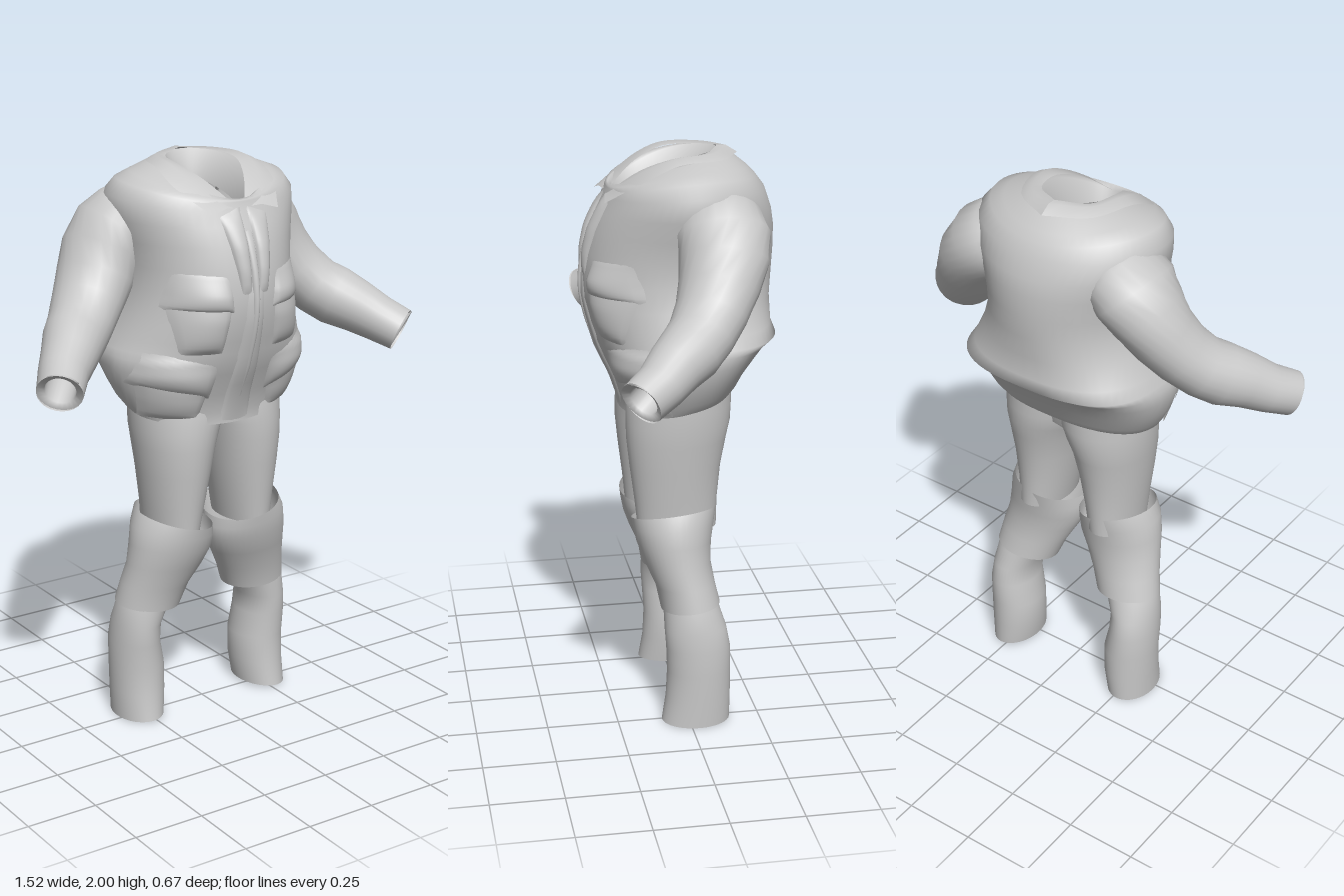
import * as THREE from 'three';

const cloth = new THREE.MeshStandardMaterial({ color: 0xc8c8c8, side: THREE.DoubleSide });
cloth.name = 'grey cloth';

function mesh(name, geometry) {
  const m = new THREE.Mesh(geometry, cloth);
  m.name = name;
  return m;
}

// Skin a list of equal rings of Vector3; closed rings wrap round
function skin(rings, closed = true) {
  const n = rings[0].length, index = [];
  for (let i = 0; i < rings.length - 1; i++) {
    for (let k = 0; k < (closed ? n : n - 1); k++) {
      const a = i * n + k, b = i * n + (k + 1) % n;
      index.push(a, a + n, b, b, a + n, b + n);
    }
  }
  const g = new THREE.BufferGeometry().setFromPoints(rings.flat());
  g.setIndex(index);
  g.computeVertexNormals();
  return g;
}

// Horizontal garment sections, bottom to top:
// [y, xMin, xMax, zFront, zBack, lift at back, tilt to +x, hump at sides, back squareness]
function loft(sections, n = 40) {
  return skin(sections.map(([y, x0, x1, zf, zb, lift = 0, tilt = 0, hump = 0, e = 1]) =>
    Array.from({ length: n }, (_, k) => {
      const a = k / n * Math.PI * 2, c = Math.cos(a), s = Math.sin(a);
      const q = s < 0 ? e : 1;
      const cx = Math.sign(c) * Math.abs(c) ** q, sz = Math.sign(s) * Math.abs(s) ** q;
      return new THREE.Vector3(
        (x0 + x1) / 2 + cx * (x1 - x0) / 2,
        y + lift * (1 - sz) / 2 + tilt * c + hump * c * c,
        (zf + zb) / 2 + sz * (zf - zb) / 2);
    })));
}

// Tube through [x, y, z, radius, flattening] stations
function sleeveTube(stations, n = 24) {
  const pts = stations.map(s => new THREE.Vector3(s[0], s[1], s[2]));
  return skin(pts.map((p, i) => {
    const t = pts[Math.min(i + 1, pts.length - 1)].clone().sub(pts[Math.max(i - 1, 0)]).normalize();
    const r = t.clone().cross(new THREE.Vector3(0, 1, 0)).normalize();
    const b = r.clone().cross(t);
    const [, , , rad, flat = 1] = stations[i];
    return Array.from({ length: n }, (_, k) => {
      const a = k / n * Math.PI * 2;
      return p.clone().addScaledVector(r, Math.cos(a) * rad).addScaledVector(b, Math.sin(a) * rad * flat);
    });
  }));
}

// Jacket body, from hem to neck lining
const body = [
  [1.11, -.295, .295, .205, -.18, .08, 0, 0, .8],
  [1.15, -.32, .32, .205, -.20, .07, 0, 0, .8],
  [1.22, -.35, .35, .225, -.225, .05, 0, 0, .8],
  [1.30, -.372, .372, .26, -.265, .03, 0, 0, .75],
  [1.35, -.368, .368, .28, -.29, .01, 0, 0, .72],
  [1.375, -.36, .36, .285, -.327, .01, 0, 0, .72],
  [1.42, -.34, .34, .30, -.315, 0, 0, 0, .78],
  [1.50, -.31, .31, .32, -.315, 0, 0, 0, .88],
  [1.58, -.295, .295, .325, -.325],
  [1.66, -.295, .295, .315, -.33],
  [1.74, -.31, .31, .295, -.33],
  [1.80, -.33, .33, .27, -.32, 0, 0, .01],
  [1.85, -.338, .338, .245, -.295, .02, 0, .025],
  [1.875, -.30, .30, .237, -.265, .035, 0, .038],
  [1.88, -.25, .25, .235, -.24, .055, 0, .04],
  [1.885, -.18, .18, .23, -.19, .09, 0, .035],
  [1.87, -.12, .12, .22, -.14, .125, 0, .03],
  [1.78, -.10, .10, .19, -.12, .12]
];

// Depth of the jacket front at (x, y)
function frontZ(x, y) {
  let i = 0;
  while (i < 11 && body[i + 1][0] < y) i++;
  const t = THREE.MathUtils.clamp((y - body[i][0]) / (body[i + 1][0] - body[i][0]), 0, 1);
  const at = j => THREE.MathUtils.lerp(body[i][j], body[i + 1][j], t);
  const q = Math.min(Math.abs(x) / at(2), .985);
  return (at(3) + at(4)) / 2 + (at(3) - at(4)) / 2 * Math.sqrt(1 - q * q);
}

// Padded panel on the jacket front, corners [x, y] as TL, TR, BR, BL;
// it swells from top to bottom and rounds off at the edges
function panel(name, [tl, tr, br, bl], top, bottom) {
  const n = 14, g = new THREE.PlaneGeometry(1, 1, n, n), p = g.attributes.position;
  const round = v => Math.sqrt(Math.max(0, Math.sin(Math.PI * v)));
  for (let k = 0; k < p.count; k++) {
    const u = k % (n + 1) / n, v = Math.floor(k / (n + 1)) / n;
    const mix = c => THREE.MathUtils.lerp(
      THREE.MathUtils.lerp(tl[c], tr[c], u), THREE.MathUtils.lerp(bl[c], br[c], u), v);
    const x = mix(0), y = mix(1);
    const swell = THREE.MathUtils.lerp(top, bottom, v) * round(u) * round(v);
    p.setXYZ(k, x, y, frontZ(x, y) + swell - .002);
  }
  g.computeVertexNormals();
  return mesh(name, g);
}

// Strip of cloth between two smooth edges
function ribbon(name, inner, outer) {
  const [a, b] = [inner, outer].map(e =>
    new THREE.CatmullRomCurve3(e.map(p => new THREE.Vector3(...p))).getPoints(16));
  const mid = a.map((p, i) => p.clone().lerp(b[i], .5).add(new THREE.Vector3(0, .012, .004)));
  return mesh(name, skin([a, mid, b], false));
}

function buildSide() {
  const g = new THREE.Group();

  // Sleeve and turned-in cuff
  g.add(mesh('sleeve', sleeveTube([
    [.20, 1.80, -.095, .12, .85], [.245, 1.785, -.10, .15, .85], [.29, 1.75, -.105, .158, .86],
    [.335, 1.69, -.10, .15, .84], [.38, 1.61, -.075, .136, .84], [.43, 1.54, -.04, .123, .86],
    [.485, 1.48, .005, .112, .92], [.535, 1.445, .05, .106], [.59, 1.41, .11, .094],
    [.645, 1.37, .165, .083], [.695, 1.335, .23, .077]])));
  g.add(mesh('cuffLining', sleeveTube([
    [.695, 1.335, .23, .077], [.689, 1.34, .223, .052], [.61, 1.395, .13, .052]])));

  // Collar leaf and open lapel
  g.add(ribbon('collar',
    [[0, 2, -.14], [.095, 1.99, -.08], [.115, 1.98, .03], [.08, 1.94, .13], [.012, 1.855, .235]],
    [[0, 1.975, -.21], [.14, 1.975, -.13], [.192, 1.972, .02], [.195, 1.925, .13], [.13, 1.845, .26]]));
  g.add(panel('lapel', [[.012, 1.86], [.095, 1.84], [.05, 1.58], [.015, 1.58]], .022, .018));

  // Chest pocket with flap
  g.add(panel('chestPocket', [[.08, 1.58], [.27, 1.58], [.235, 1.38], [.10, 1.38]], .02, .03));
  g.add(panel('chestPocketFlap', [[.09, 1.65], [.24, 1.66], [.275, 1.53], [.075, 1.525]], .008, .045));

  // Hip pocket with flap
  g.add(panel('hipPocket', [[.11, 1.28], [.345, 1.31], [.305, 1.15], [.14, 1.13]], .02, .03));
  g.add(panel('hipPocketFlap', [[.10, 1.34], [.33, 1.40], [.355, 1.27], [.11, 1.21]], .005, .045));

  // Trouser leg: thigh, baggy knee and shin
  g.add(mesh('thigh', loft([
    [.70, .065, .235, .16, -.115], [.80, .045, .245, .17, -.118], [.92, .02, .26, .185, -.13],
    [1.02, -.002, .272, .195, -.15], [1.08, -.025, .278, .195, -.165],
    [1.14, -.05, .28, .193, -.17], [1.22, -.06, .28, .18, -.17]])));
  g.add(mesh('knee', loft([
    [.42, .105, .343, .09, -.115, .02, .01], [.50, .075, .33, .105, -.10, .01, .01],
    [.58, .035, .315, .14, -.09, 0, .01], [.65, .005, .308, .165, -.095, 0, .015],
    [.70, .003, .298, .175, -.105, .01, .025], [.735, .008, .275, .18, -.115, .03, .03]])));
  g.add(mesh('shin', loft([
    [.01, .18, .348, .095, -.145, 0, -.005], [.10, .166, .35, .08, -.148], [.20, .165, .352, .075, -.148],
    [.29, .185, .353, .08, -.145], [.36, .185, .347, .085, -.132], [.43, .15, .338, .085, -.11],
    [.52, .10, .31, .09, -.085]])));
  return g;
}

export function createModel() {
  const model = new THREE.Group();
  model.name = 'jacketAndTrousers';

  model.add(mesh('jacketBody', loft(body, 56)));
  model.add(panel('frontPlacket', [[-.03, 1.62], [.03, 1.62], [.06, 1.11], [-.06, 1.11]], .012, .018));
  model.add(panel('zipStrip', [[-.014, 1.80], [.014, 1.80], [.014, 1.14], [-.014, 1.14]], .014, .022));

  // Trouser seat closing between the legs
  model.add(mesh('trouserSeat', loft([
    [1.025, -.015, .015, .05, -.03], [1.07, -.09, .09, .11, -.08],
    [1.13, -.2, .2, .16, -.135], [1.25, -.27, .27, .17, -.16]])));

  const left = buildSide();
  left.name = 'leftSide';
  const right = buildSide();
  right.name = 'rightSide';
  right.scale.x = -1;
  model.add(left, right);
  return model;
}
